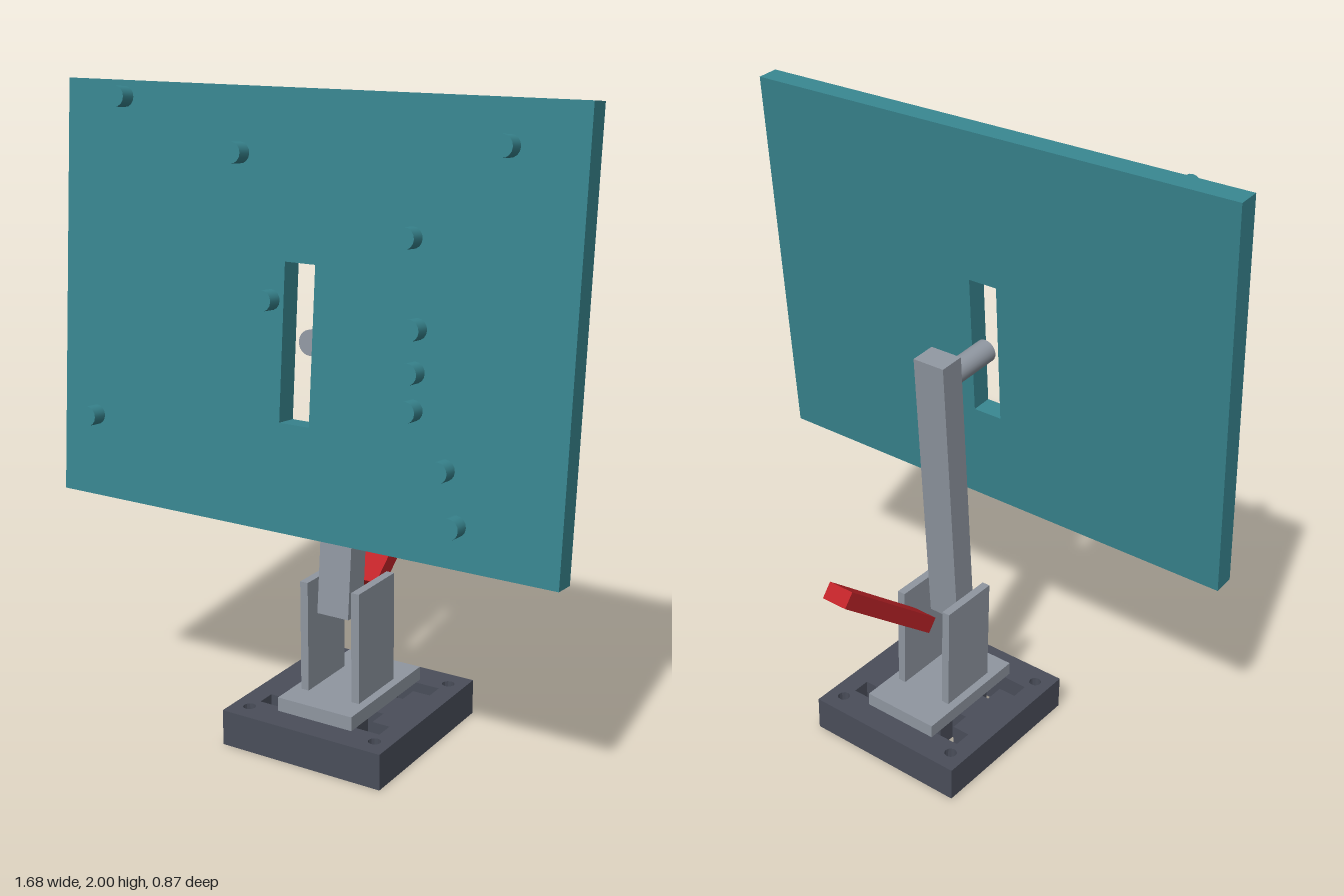
import * as THREE from 'three';

const mat = (name, color) => {
  const m = new THREE.MeshStandardMaterial({ color });
  m.name = name;
  return m;
};

// Closed path through a list of [x, y] points
const path = (Type, pts) => {
  const p = new Type();
  p.setFromPoints(pts.map(([x, y]) => new THREE.Vector2(x, y)));
  p.closePath();
  return p;
};
const rect = (Type, w, h, cy = 0) => path(Type, [
  [-w / 2, cy - h / 2], [w / 2, cy - h / 2], [w / 2, cy + h / 2], [-w / 2, cy + h / 2],
]);

export function createModel() {
  const model = new THREE.Group();
  model.name = 'tiltingPanelStand';
  const teal = mat('teal', 0x38858f);
  const grey = mat('grey', 0x8f96a0);
  const slate = mat('slate', 0x4a4e5a);
  const red = mat('red', 0xbe2328);
  const tilt = -THREE.MathUtils.degToRad(5);

  const add = (parent, name, geometry, material, x = 0, y = 0, z = 0, rx = 0) => {
    const mesh = new THREE.Mesh(geometry, material);
    mesh.name = name;
    mesh.position.set(x, y, z);
    mesh.rotation.x = rx;
    parent.add(mesh);
    return mesh;
  };
  const box = (name, w, h, d, material, x, y, z, rx) =>
    add(model, name, new THREE.BoxGeometry(w, h, d), material, x, y, z, rx);

  // Base slab with corner screw holes and four T-shaped cut-outs
  const slab = rect(THREE.Shape, 0.56, 0.59);
  for (const sx of [-1, 1]) {
    for (const sy of [-1, 1]) {
      const hole = new THREE.Path();
      hole.absarc(sx * 0.225, sy * 0.23, 0.02, 0, Math.PI * 2);
      slab.holes.push(hole);
      slab.holes.push(path(THREE.Path, [
        [0.215, 0.185], [0.04, 0.185], [0.04, 0.125], [0.1, 0.125],
        [0.1, 0.06], [0.155, 0.06], [0.155, 0.125], [0.215, 0.125],
      ].map(([x, y]) => [sx * x, sy * y])));
    }
  }
  const slabGeo = new THREE.ExtrudeGeometry(slab, { depth: 0.115, bevelEnabled: false, curveSegments: 6 });
  slabGeo.rotateX(-Math.PI / 2);
  add(model, 'base', slabGeo, slate, 0, 0, 0.07);

  // Bracket: foot plate and two uprights
  box('footPlate', 0.264, 0.045, 0.42, grey, 0, 0.1375, 0.07);
  for (const s of [-1, 1]) box('upright', 0.027, 0.357, 0.21, grey, s * 0.091, 0.3375, 0.086);

  // Leaning arm, with a rod reaching toward the panel
  box('arm', 0.11, 0.95, 0.085, grey, 0, 0.886, 0.089, tilt);
  add(model, 'rod', new THREE.CylinderGeometry(0.037, 0.037, 0.22, 24), grey,
    0, 1.282, 0.176, Math.PI / 2 + tilt);

  // Lever sloping up to the rear
  box('lever', 0.087, 0.053, 0.5, red, 0, 0.61, -0.222, THREE.MathUtils.degToRad(38.8));

  // Tilted panel with a slot in the middle
  const panel = new THREE.Group();
  panel.name = 'panel';
  panel.position.set(0, 1.372, 0.31);
  panel.rotation.x = tilt;
  model.add(panel);
  const board = rect(THREE.Shape, 1.68, 1.255);
  board.holes.push(rect(THREE.Path, 0.1, 0.458, -0.077));
  const boardGeo = new THREE.ExtrudeGeometry(board, { depth: 0.07, bevelEnabled: false });
  add(panel, 'board', boardGeo, teal, 0, 0, -0.035);

  // Round pegs on the panel's front
  const pegGeo = new THREE.CylinderGeometry(0.03, 0.03, 0.05, 16);
  const pegs = [
    [-0.627, 1.957], [-0.212, 1.82], [0.62, 1.883], [0.352, 1.63], [-0.093, 1.42], [0.38, 1.39],
    [0.38, 1.273], [0.38, 1.17], [0.487, 1.022], [0.53, 0.875], [-0.717, 1.005],
  ];
  for (const [x, y] of pegs) {
    add(panel, 'peg', pegGeo, teal, x, (y - 1.379) / Math.cos(tilt), 0.057, Math.PI / 2);
  }
  return model;
}
